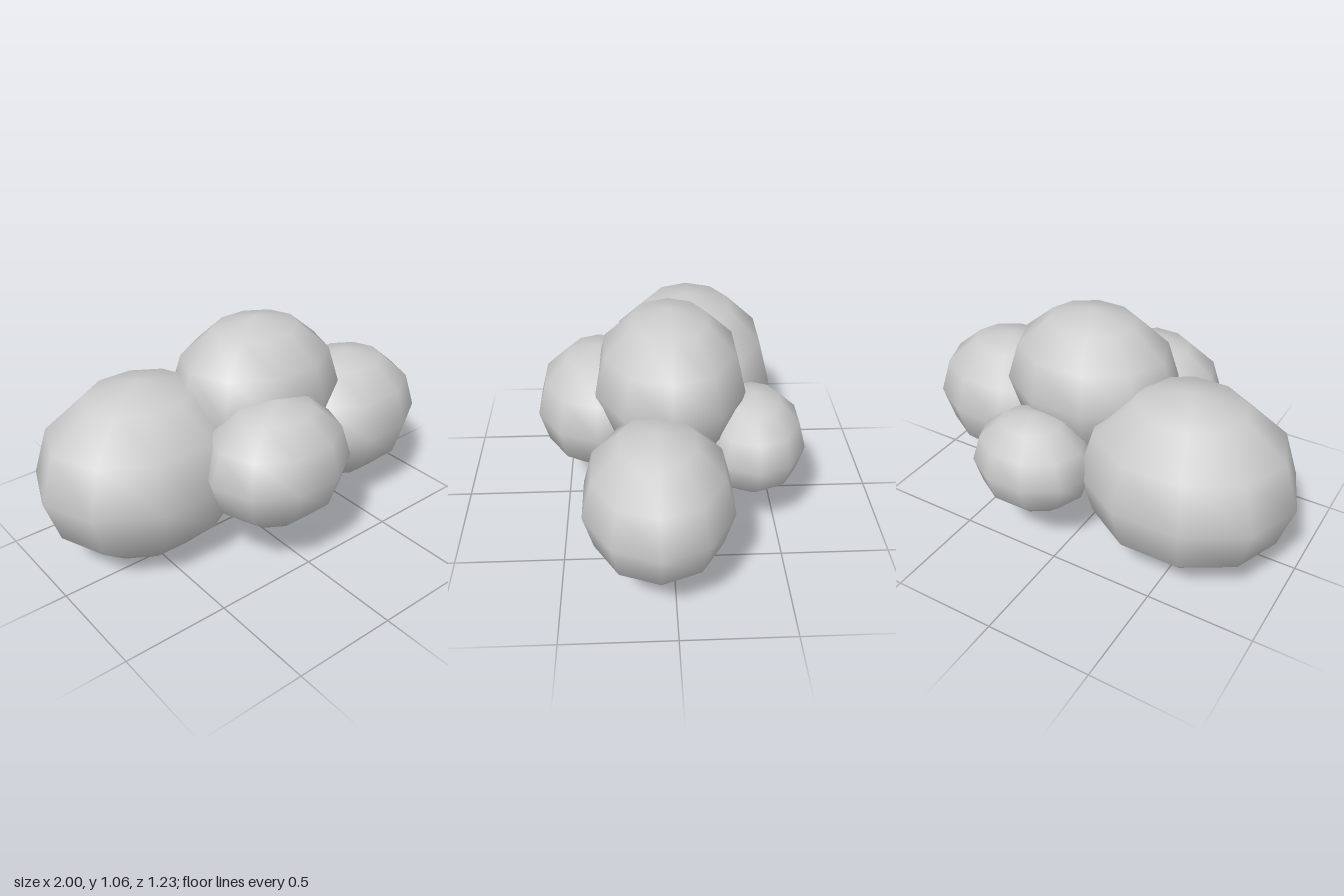
import * as THREE from 'three';

// Each puff: name, radius, centre [x, y, z]
const PUFFS = [
  ['leftPuff', 0.335, [0.598, 0.435, 0.07]],
  ['rightPuff', 0.431, [-0.482, 0.435, -0.12]],
  ['topPuff', 0.352, [0.08, 0.708, 0]],
  ['frontPuff', 0.30, [-0.065, 0.512, 0.327]],
  ['backPuff', 0.245, [0.172, 0.435, -0.382]],
];

export function createModel() {
  const cloud = new THREE.Group();
  cloud.name = 'cloud';
  const material = new THREE.MeshStandardMaterial({ color: 0xcccccc });

  // Coarse, smooth-shaded spheres, stretched sideways
  for (const [name, radius, centre] of PUFFS) {
    const geometry = new THREE.SphereGeometry(radius, 10, 6);
    geometry.scale(1.2, 1, 1);
    const puff = new THREE.Mesh(geometry, material);
    puff.name = name;
    puff.position.set(...centre);
    cloud.add(puff);
  }
  return cloud;
}
